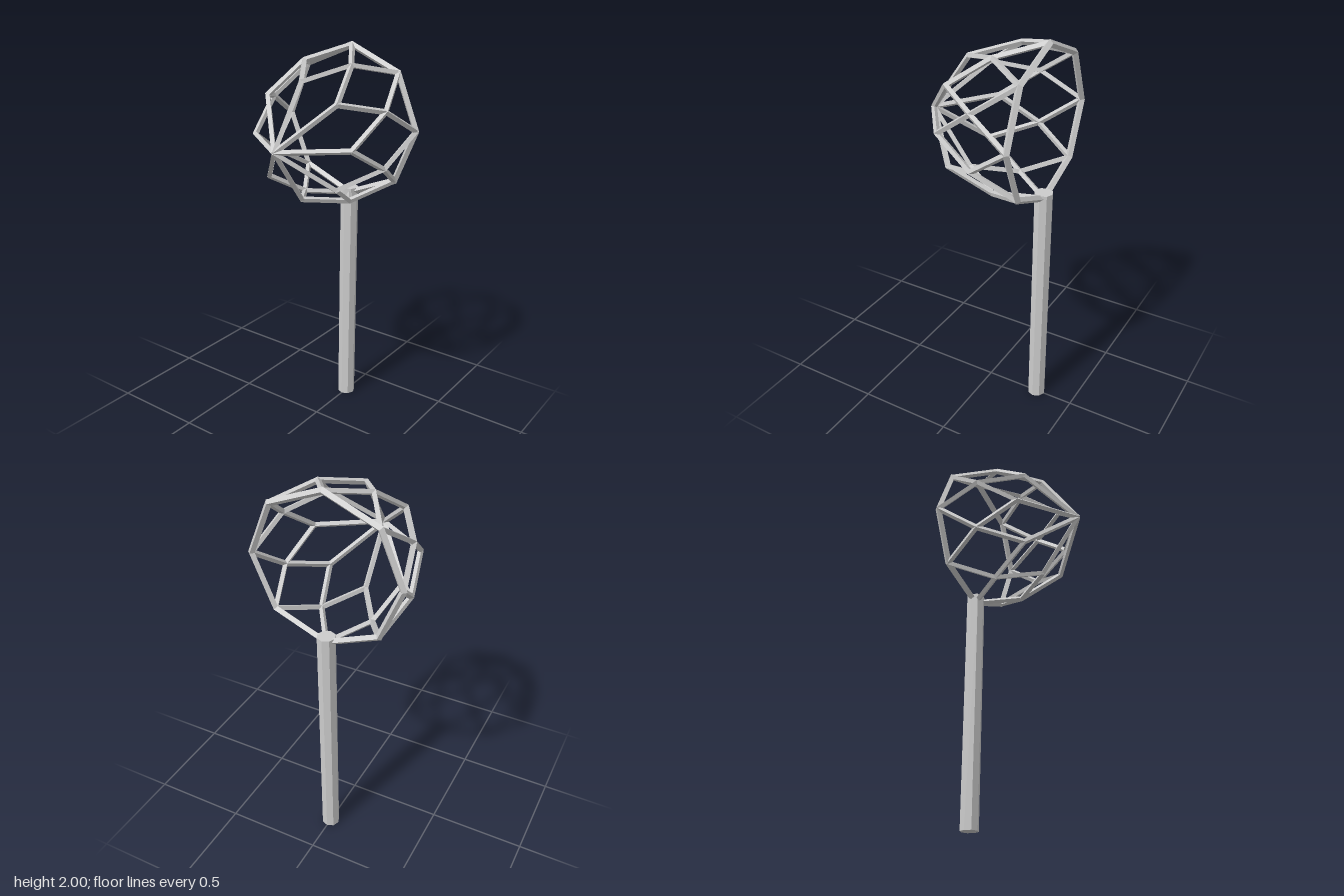
import * as THREE from 'three';

const steel = new THREE.MeshStandardMaterial({ color: 0xcccccc, flatShading: true });
steel.name = 'light grey steel';

// Ring of eight nodes; offset is in steps of 45 degrees
function ring(radius, y, z, offset) {
  return Array.from({ length: 8 }, (_, i) => {
    const a = (i + offset) * Math.PI / 4;
    return new THREE.Vector3(radius * Math.sin(a), y + radius * Math.cos(a), z);
  });
}

// Square bar from a to b with one edge turned outward from the basket axis
function bar(name, a, b, radius = 0.0145) {
  const along = b.clone().sub(a);
  const length = along.length();
  along.normalize();
  const out = a.clone().add(b).multiplyScalar(0.5).sub(new THREE.Vector3(0, 1.58, -0.2));
  out.addScaledVector(along, -out.dot(along)).normalize();
  const side = new THREE.Vector3().crossVectors(along, out);
  const mesh = new THREE.Mesh(new THREE.CylinderGeometry(radius, radius, length + 0.006, 4), steel);
  mesh.quaternion.setFromRotationMatrix(new THREE.Matrix4().makeBasis(side, along, out));
  mesh.position.copy(a).add(b).multiplyScalar(0.5);
  mesh.name = name;
  return mesh;
}

export function createModel() {
  const model = new THREE.Group();
  model.name = 'hoopNet';

  // Upright pole
  const pole = new THREE.Mesh(new THREE.CylinderGeometry(0.047, 0.047, 1.25, 8), steel);
  pole.position.set(0, 0.625, -0.293);
  pole.name = 'pole';
  model.add(pole);

  // Eight-sided rim
  const rim = new THREE.Mesh(new THREE.TorusGeometry(0.382, 0.018, 4, 8), steel);
  rim.position.set(0, 1.6, -0.294);
  rim.name = 'rim';
  model.add(rim);

  // Diamond mesh narrowing to the front tip
  const outer = ring(0.382, 1.6, -0.294, 0);
  const middle = ring(0.361, 1.587, -0.087, 0.5);
  const inner = ring(0.285, 1.575, 0.12, 0);
  const tip = new THREE.Vector3(0, 1.567, 0.327);
  const net = new THREE.Group();
  net.name = 'net';
  for (let i = 0; i < 8; i++) {
    const next = (i + 1) % 8;
    net.add(
      bar('rearNetBar', outer[i], middle[i]),
      bar('rearNetBar', outer[next], middle[i]),
      bar('middleNetBar', middle[i], inner[i]),
      bar('middleNetBar', middle[i], inner[next]),
      bar('tipNetBar', inner[i], tip)
    );
  }
  model.add(net);
  return model;
}
